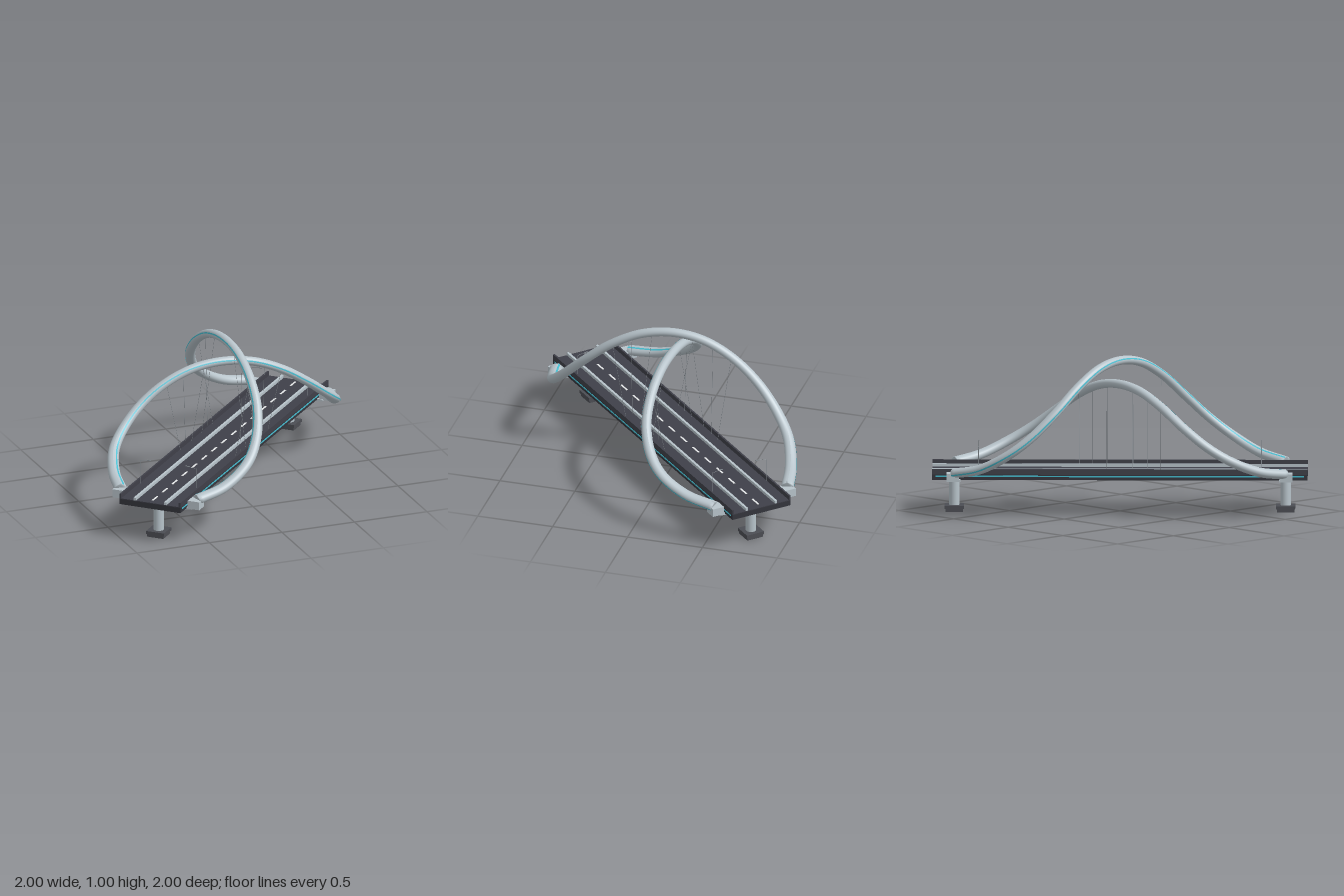
import * as THREE from 'three';

const mat = (name, color, side = THREE.FrontSide) => {
  const m = new THREE.MeshStandardMaterial({ color, side });
  m.name = name;
  return m;
};

export function createModel() {
  const model = new THREE.Group();
  model.name = 'twistedArchBridge';
  const steel = mat('pale steel', 0xb8c4cb);
  const asphalt = mat('asphalt', 0x3f4049);
  const dark = mat('dark deck', 0x34353c);
  const footing = mat('footing grey', 0x4c4e54);
  const cable = mat('cable grey', 0x82898f);
  const white = mat('road white', 0xf4f6f7);
  const cyan = mat('cyan light strip', 0x45bccf, THREE.DoubleSide);

  // the deck runs along local x and is turned diagonally
  const deck = new THREE.Group();
  deck.name = 'deckAndPiers';
  deck.rotation.y = Math.PI / 4;
  model.add(deck);

  const add = (parent, name, geo, material, x = 0, y = 0, z = 0) => {
    const m = new THREE.Mesh(geo, material);
    m.name = name;
    m.position.set(x, y, z);
    parent.add(m);
    return m;
  };
  const box = (name, w, h, d, material, x, y, z) =>
    add(deck, name, new THREE.BoxGeometry(w, h, d), material, x, y, z);
  const rod = (parent, name, a, b, r, material) => {
    const dir = b.clone().sub(a);
    const m = add(parent, name, new THREE.CylinderGeometry(r, r, dir.length(), 6), material);
    m.position.copy(a).add(b).multiplyScalar(0.5);
    m.quaternion.setFromUnitVectors(new THREE.Vector3(0, 1, 0), dir.normalize());
  };
  const V = (x, y, z) => new THREE.Vector3(x, y, z);

  // deck slab, road surface and lane dashes
  const L = 2.404;
  box('deckSlab', L, 0.035, 0.424, dark, 0, 0.2475, 0);
  box('roadSurface', L, 0.006, 0.404, asphalt, 0, 0.267, 0);
  for (let i = -7; i <= 7; i++) box('laneDash', 0.08, 0.003, 0.012, white, i * 0.16, 0.271, 0);

  for (const s of [-1, 1]) {
    box('parapet', L, 0.035, 0.012, asphalt, 0, 0.2825, s * 0.206);
    box('curbRail', L, 0.02, 0.016, steel, 0, 0.279, s * 0.106);
    box('sideLightStrip', 2.36, 0.009, 0.004, cyan, 0, 0.254, s * 0.2125);
  }

  // piers with stepped footings, flared caps and arch blocks
  const cap = new THREE.Shape([
    [-0.25, 0.236], [-0.25, 0.224], [-0.07, 0.198], [0.07, 0.198], [0.25, 0.224], [0.25, 0.236],
  ].map(p => new THREE.Vector2(...p)));
  const capGeo = new THREE.ExtrudeGeometry(cap, { depth: 0.08, bevelEnabled: false });
  capGeo.translate(0, 0, -0.04).rotateY(Math.PI / 2);
  for (const e of [-1, 1]) {
    const u = e * 1.06;
    box('footingBase', 0.112, 0.02, 0.112, footing, u, 0.01, 0);
    box('footingTop', 0.124, 0.02, 0.124, footing, u, 0.03, 0);
    add(deck, 'pierColumn', new THREE.CylinderGeometry(0.034, 0.034, 0.165, 20), steel, u, 0.12, 0);
    add(deck, 'pierCap', capGeo, steel, u, 0, 0);
    for (const s of [-1, 1]) {
      box('archBlock', 0.08, 0.054, 0.08, steel, e * 1.067, 0.257, s * 0.262);
      // street lamps lean over the road
      const p = e * 0.905;
      rod(deck, 'lampPole', V(p, 0.265, s * 0.195), V(p, 0.428, s * 0.195), 0.0018, cable);
      rod(deck, 'lampArm', V(p, 0.428, s * 0.195), V(p, 0.436, s * 0.14), 0.0013, cable);
      box('lampHead', 0.007, 0.004, 0.024, cable, p, 0.436, s * 0.133);
    }
  }

  // half of an arch: x, z and height fraction from crown to foot
  const half = [
    [0, 0, 1], [0.2, 0.015, 0.955], [0.4, 0.02, 0.81], [0.58, -0.002, 0.6], [0.73, -0.075, 0.385],
    [0.83, -0.18, 0.23], [0.9, -0.36, 0.09], [0.937, -0.56, 0.03],
  ];
  const archCurve = (peak, mirrored) => {
    const full = [
      ...half.slice(1).reverse().map(([x, z, h]) => [-x, -z, h]),
      ...half,
    ];
    return new THREE.CatmullRomCurve3(full.map(([x, z, h]) => {
      const y = 0.26 + (peak - 0.26) * h;
      return mirrored ? V(-z, y, -x) : V(x, y, z);
    }));
  };

  // sweeps an oval section; range(s) gives start and end angle around it
  const sweep = (curve, scale, sides, range, capped) => {
    const n = 120, pos = [], idx = [], up = V(0, 1, 0);
    for (let i = 0; i <= n; i++) {
      const t = i / n, s = 2 * t - 1, k = s * s;
      const c = curve.getPointAt(t), T = curve.getTangentAt(t);
      const S = T.clone().cross(up).normalize(), N = S.clone().cross(T);
      const a = (0.03 + 0.011 * k) * scale, b = (0.028 + 0.004 * k) * scale;
      const [from, to] = range(s);
      for (let j = 0; j <= sides; j++) {
        const f = from + (to - from) * j / sides;
        const p = c.clone().addScaledVector(S, a * Math.sin(f)).addScaledVector(N, b * Math.cos(f));
        pos.push(p.x, p.y, p.z);
      }
    }
    const w = sides + 1;
    for (let i = 0; i < n; i++) for (let j = 0; j < sides; j++) {
      const q = i * w + j;
      idx.push(q, q + 1, q + w, q + 1, q + w + 1, q + w);
    }
    if (capped) for (let j = 1; j < sides - 1; j++) {
      const e = n * w;
      idx.push(0, j + 1, j, e, e + j, e + j + 1);
    }
    const g = new THREE.BufferGeometry();
    g.setAttribute('position', new THREE.Float32BufferAttribute(pos, 3));
    g.setIndex(idx);
    g.computeVertexNormals();
    return g;
  };

  // two crossing arches, each with a light strip winding along one side
  for (const [name, peak, mirrored] of [['lowArch', 0.82, false], ['highArch', 0.973, true]]) {
    const arch = new THREE.Group();
    arch.name = name;
    model.add(arch);
    const curve = archCurve(peak, mirrored);
    const hand = mirrored ? -1 : 1;
    // the mirrored path keeps its order, so only the angle changes sign
    const stripAngle = s => hand * (1.2 + 0.75 * s);
    add(arch, 'archTube', sweep(curve, 1, 24, () => [0, Math.PI * 2], true), steel);
    add(arch, 'archLightStrip', sweep(curve, 1.04, 3,
      s => [stripAngle(s) - 0.15, stripAngle(s) + 0.15], false), cyan);

    // hangers drop straight to the nearer deck edge
    for (const d of [-0.39, -0.27, -0.13, 0.13, 0.27, 0.39]) {
      let best = null;
      for (let i = 0; i <= 400; i++) {
        const p = curve.getPointAt(i / 400), c = mirrored ? p.z : p.x;
        if (!best || Math.abs(c - d) < best.err) best = { err: Math.abs(c - d), p };
      }
      const u = (best.p.x - best.p.z) / Math.SQRT2;
      const v = 0.19 * Math.sign(best.p.x + best.p.z);
      const foot = V((u + v) / Math.SQRT2, 0.268, (v - u) / Math.SQRT2);
      rod(arch, 'hangerCable', foot, best.p, 0.0011, cable);
    }
  }
  return model;
}
